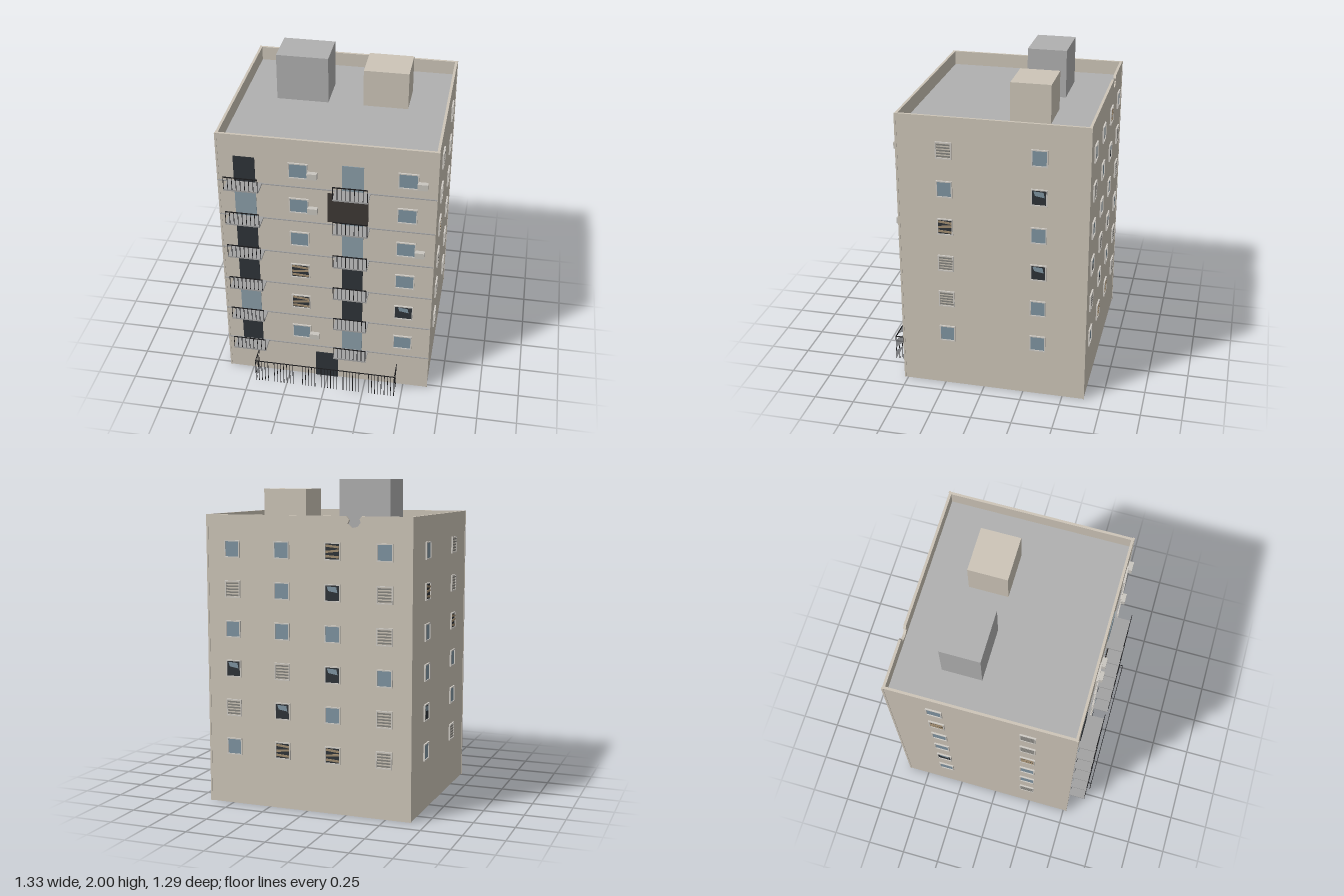
import * as THREE from 'three';

const mats = {};
const mat = (color) => (mats[color] ??= new THREE.MeshStandardMaterial({ color, side: THREE.DoubleSide }));
const WALL = 0xcdc5b8, ROOF = 0xb0b0b0, GLASS = 0x7f94a1, DARK = 0x2e3338, FRAME = 0xcfcbc4;
const IRON = 0x1c1c1e, PLANK = 0xa08c70, SLAB = 0xa2a2a2, CLOTH = 0x3d3835;

const X = 0.655, ZF = 0.52, ZB = -0.635, ZC = (ZF + ZB) / 2, ROOF_Y = 1.7, TOP = 1.79;
const FLOORS = 6, STEP = 0.2443, floorY = (i) => 0.249 + i * STEP; // i = 0 is the lowest flat

function add(parent, name, geometry, color, x = 0, y = 0, z = 0) {
  const mesh = new THREE.Mesh(geometry, mat(color));
  mesh.name = name;
  mesh.position.set(x, y, z);
  parent.add(mesh);
  return mesh;
}
const box = (parent, name, color, w, h, d, x, y, z) =>
  add(parent, name, new THREE.BoxGeometry(w, h, d), color, x, y, z);

function group(parent, name, x = 0, y = 0, z = 0, turn = 0) {
  const g = new THREE.Group();
  g.name = name;
  g.position.set(x, y, z);
  g.rotation.y = turn;
  parent.add(g);
  return g;
}

function rect(w, h, x = 0, y = 0) {
  return [[-w, -h], [w, -h], [w, h], [-w, h]].map(([a, b]) => new THREE.Vector2(x + a / 2, y + b / 2));
}
function ring(w, h, t, depth, y = 0) {
  const shape = new THREE.Shape(rect(w, h, 0, y));
  shape.holes.push(new THREE.Path(rect(w - 2 * t, h - 2 * t, 0, y)));
  return new THREE.ExtrudeGeometry(shape, { depth, bevelEnabled: false });
}

// Window kinds: g = glass, b = boarded up, s = slatted shutter, x = broken pane
function addWindow(facade, kind, x, y, w) {
  const h = 0.105, win = group(facade, 'window', x, y);
  add(win, 'windowFrame', ring(w, h, 0.007, 0.01), FRAME);
  const pane = { g: GLASS, b: DARK, s: WALL, x: DARK }[kind];
  box(win, 'windowPane', pane, w - 0.012, h - 0.012, 0.004, 0, 0, 0.002);
  if (kind === 'b') {
    [[0.03, -0.1], [0.002, 0.12], [-0.03, -0.06]].forEach(([py, tilt]) => {
      box(win, 'plank', PLANK, w - 0.016, 0.013, 0.004, 0, py, 0.007).rotation.z = tilt;
    });
  }
  if (kind === 's') {
    for (let i = -2; i <= 2; i++) box(win, 'slat', 0x85837e, w - 0.016, 0.009, 0.004, 0, i * 0.018, 0.006);
  }
  if (kind === 'x') {
    const shard = new THREE.Shape([[-0.035, 0.04], [-0.025, 0.012], [0.033, 0.002], [0.026, 0.036]]
      .map(([a, b]) => new THREE.Vector2(a, b)));
    add(win, 'glassShard', new THREE.ShapeGeometry(shard), GLASS, 0, 0, 0.007);
  }
}

// Each column is [x, kinds from the top floor down]
function addColumns(facade, columns, w) {
  columns.forEach(([x, kinds]) => [...kinds].forEach((kind, i) =>
    addWindow(facade, kind, x, floorY(FLOORS - 1 - i) + 0.113, w)));
}

function addBalcony(facade, x, y, doorColor) {
  const b = group(facade, 'balcony', x, y);
  box(b, 'balconyDoor', doorColor, 0.13, 0.172, 0.006, 0, 0.09, 0.001);
  box(b, 'balconySlab', SLAB, 0.21, 0.01, 0.105, 0, 0, 0.0525);
  box(b, 'handrail', IRON, 0.208, 0.006, 0.004, 0, 0.088, 0.104);
  for (let i = 0; i <= 8; i++) box(b, 'railBar', IRON, 0.004, 0.084, 0.001, -0.102 + i * 0.0255, 0.045, 0.104);
}

export function createModel() {
  const model = new THREE.Group();
  model.name = 'apartmentBlock';

  // Hollow shell, corner strips and roof deck
  const shell = ring(2 * X, ZF - ZB, 0.014, ROOF_Y, -ZC);
  shell.rotateX(-Math.PI / 2);
  add(model, 'walls', shell, WALL);
  for (const x of [-X, X]) for (const z of [ZB, ZF]) {
    box(model, 'cornerStrip', WALL, 0.012, TOP, 0.012, x - Math.sign(x) * 0.003, TOP / 2, z - Math.sign(z) * 0.003);
  }
  box(model, 'roofDeck', ROOF, 2 * X - 0.02, 0.012, ZF - ZB - 0.02, 0, ROOF_Y - 0.006, ZC);

  // Parapet, with a broken bite in the back wall
  const ph = TOP - ROOF_Y, py = (TOP + ROOF_Y) / 2, t = 0.016;
  box(model, 'frontParapet', WALL, 2 * X, ph, t, 0, py, ZF - t / 2);
  for (const s of [-1, 1]) box(model, 'sideParapet', WALL, t, ph, ZF - ZB - 2 * t, s * (X - t / 2), py, ZC);
  const back = new THREE.Shape([[-X, ROOF_Y], [X, ROOF_Y], [X, TOP], [-0.25, TOP], [-0.268, 1.768],
    [-0.258, 1.745], [-0.285, 1.722], [-0.318, 1.728], [-0.34, 1.752], [-0.332, 1.772], [-0.345, TOP], [-X, TOP]]
    .map(([a, b]) => new THREE.Vector2(a, b)));
  add(model, 'backParapet', new THREE.ExtrudeGeometry(back, { depth: t, bevelEnabled: false }), WALL, 0, 0, ZB);

  // Rooftop blocks
  box(model, 'machineRoom', ROOF, 0.325, 0.3, 0.245, -0.2625, 1.85, -0.2325);
  box(model, 'stairHead', WALL, 0.28, 0.24, 0.245, 0.26, 1.82, -0.2325);

  // Windows on all four sides
  const front = group(model, 'frontFacade', 0, 0, ZF);
  addColumns(front, [[-0.165, 'gggbbg'], [0.485, 'ggggxg']], 0.12);
  addColumns(group(model, 'eastFacade', X, 0, 0, Math.PI / 2), [[-0.23, 'sgbssg'], [0.34, 'gxgxgg']], 0.098);
  addColumns(group(model, 'westFacade', -X, 0, 0, -Math.PI / 2), [[0.23, 'ssbggs'], [-0.34, 'gbggxg']], 0.098);
  addColumns(group(model, 'backFacade', 0, 0, ZB, Math.PI),
    [[-0.485, 'gsgxsg'], [-0.16, 'gggsxb'], [0.165, 'bxgxgb'], [0.49, 'gssgss']], 0.1);

  // Floor bands and balconies, bottom floor first
  const doors = { '-0.49': 'dgddgd', '0.16': 'gddggg' };
  for (let i = 0; i < FLOORS; i++) {
    box(front, 'floorBand', SLAB, 2 * X, 0.006, 0.008, 0, floorY(i), 0.002);
    for (const x in doors) addBalcony(front, +x, floorY(i), doors[x][i] === 'd' ? DARK : 0x8a9da8);
  }
  box(front, 'hangingBlanket', CLOTH, 0.245, 0.205, 0.003, 0.1325, 1.3525, 0.012);

  // Air conditioners beside some windows: [x, floor]
  for (const [x, i] of [[-0.08, 5], [-0.08, 4], [-0.08, 0], [0.57, 5], [0.57, 3]]) {
    box(front, 'airConditioner', 0xc9c6bf, 0.06, 0.04, 0.03, x, floorY(i) + 0.095, 0.017);
  }

  // Entrance door and yard fence with a few missing bars
  box(front, 'entranceDoor', DARK, 0.147, 0.196, 0.01, -0.003, 0.098, 0.001);
  const fence = group(model, 'fence');
  const FX = 0.455, FZ = 0.643, FH = 0.165;
  box(fence, 'frontRail', IRON, 2 * FX, 0.005, 0.004, 0, FH, FZ);
  const missing = [5, 13, 14, 20, 27, 34, 35];
  for (let i = 0; i <= 44; i++) {
    if (!missing.includes(i)) box(fence, 'fenceBar', IRON, 0.004, FH, 0.001, -FX + i * 2 * FX / 44, FH / 2, FZ);
  }
  for (const s of [-1, 1]) {
    box(fence, 'sideRail', IRON, 0.004, 0.005, FZ - ZF, s * FX, FH, (FZ + ZF) / 2);
    for (let i = 0; i < 6; i++) box(fence, 'fenceBar', IRON, 0.001, FH, 0.004, s * FX, FH / 2, FZ - i * 0.0215);
  }
  return model;
}
